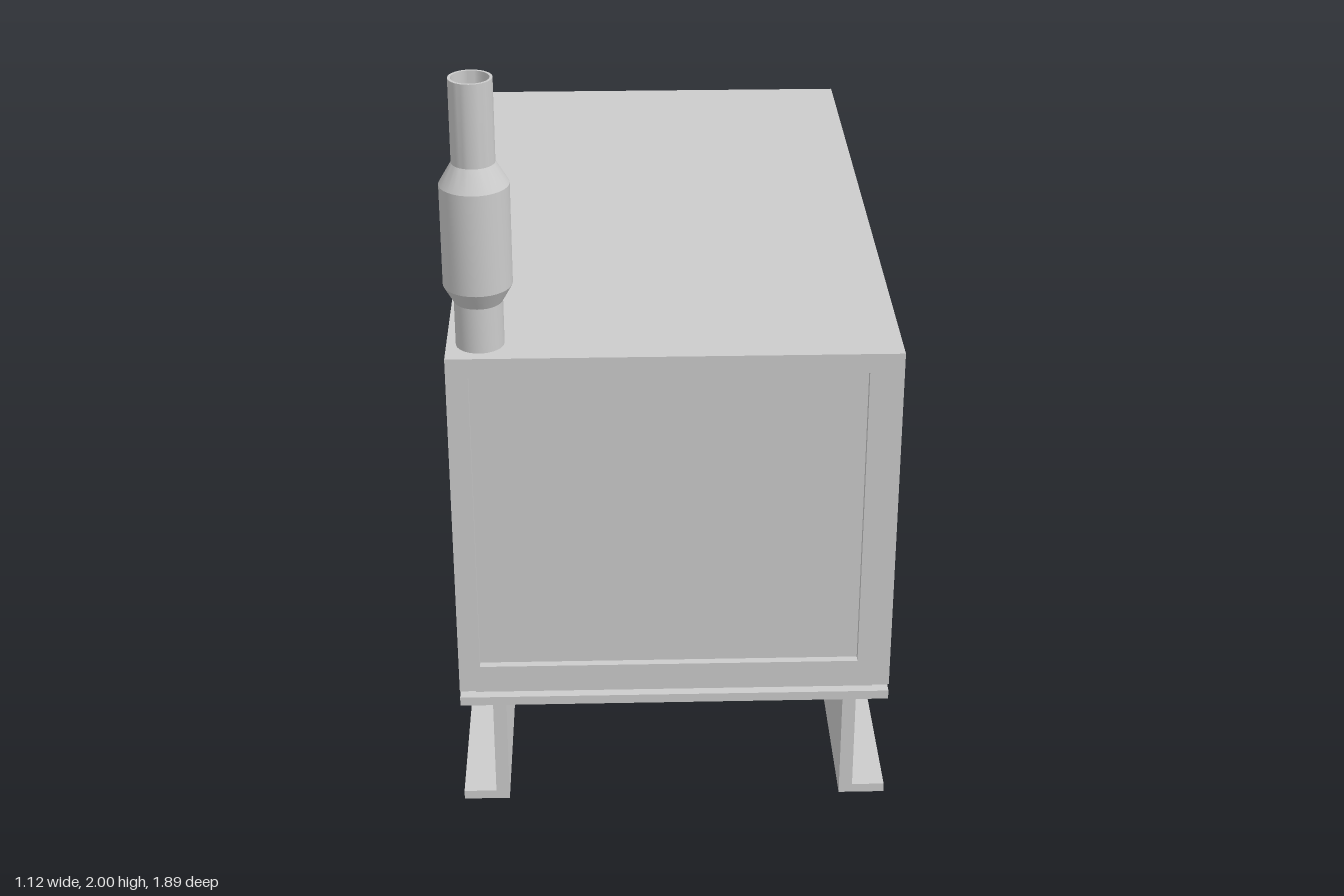
import * as THREE from 'three';
import { toCreasedNormals } from 'three/addons/utils/BufferGeometryUtils.js';

const grey = new THREE.MeshStandardMaterial({ color: 0xcccccc, side: THREE.DoubleSide });

export function createModel() {
  const model = new THREE.Group();

  const group = (name) => {
    const g = new THREE.Group();
    g.name = name;
    model.add(g);
    return g;
  };
  const add = (parent, name, geometry) => {
    const mesh = new THREE.Mesh(geometry, grey);
    mesh.name = name;
    parent.add(mesh);
    return mesh;
  };
  // Box given by its lower and upper limits on each axis
  const box = (parent, name, x0, x1, y0, y1, z0, z1) =>
    add(parent, name, new THREE.BoxGeometry(x1 - x0, y1 - y0, z1 - z0)
      .translate((x0 + x1) / 2, (y0 + y1) / 2, (z0 + z1) / 2));
  // Outline in x, y drawn out from z0 to z1
  const prism = (parent, name, points, z0, z1) => {
    const shape = new THREE.Shape(points.map(([x, y]) => new THREE.Vector2(x, y)));
    return add(parent, name, new THREE.ExtrudeGeometry(shape,
      { depth: z1 - z0, bevelEnabled: false }).translate(0, 0, z0));
  };
  // Outline in z, y drawn out from x0 to x1
  const sidePrism = (parent, name, points, x0, x1) => {
    const shape = new THREE.Shape(points.map(([z, y]) => new THREE.Vector2(-z, y)));
    return add(parent, name, new THREE.ExtrudeGeometry(shape,
      { depth: x1 - x0, bevelEnabled: false }).rotateY(Math.PI / 2).translate(x0, 0, 0));
  };
  // Turned part: [radius, distance along axis], axis x, y or z through the centre
  const turned = (parent, name, profile, axis, x, y, z) => {
    let g = new THREE.LatheGeometry(profile.map(([r, h]) => new THREE.Vector2(r, h)), 32);
    if (axis === 'z') g.rotateX(Math.PI / 2);
    if (axis === 'x') g.rotateZ(-Math.PI / 2);
    g = toCreasedNormals(g, 0.5);
    return add(parent, name, g.translate(x, y, z));
  };
  const pipe = (parent, name, points, r) => {
    const curve = new THREE.CatmullRomCurve3(points.map((p) => new THREE.Vector3(...p)), false, 'centripetal');
    return add(parent, name, new THREE.TubeGeometry(curve, 32, r, 16, false));
  };
  const mirror = (points) => [...points, ...points.map(([x, y]) => [-x, y]).reverse()];

  // Skids: web, flanges and turned-up tail
  const skids = group('skids');
  for (const s of [-1, 1]) {
    const span = (a, b) => (s > 0 ? [a, b] : [-b, -a]);
    const outer = span(0.445, 0.56);
    sidePrism(skids, 'skidWeb',
      [[0.945, 0], [-0.86, 0], [-0.945, 0.085], [-0.945, 0.325], [0.945, 0.325]], ...span(0.44, 0.475));
    sidePrism(skids, 'skidFoot',
      [[0.945, 0], [-0.86, 0], [-0.945, 0.085], [-0.945, 0.12], [-0.85, 0.025], [0.945, 0.025]], ...outer);
    box(skids, 'skidTopFlange', ...outer, 0.3, 0.325, -0.945, 0.945);
  }
  for (const z of [-0.945, 0.875]) box(skids, 'endPlate', -0.56, 0.56, 0.3, 0.325, z, z + 0.07);

  // Cross beams on the skids
  const beams = group('crossBeams');
  for (const z of [0.89, 0.495, -0.07, -0.5, -0.9])
    box(beams, 'crossBeam', -0.52, 0.52, 0.325, 0.375, z - 0.03, z + 0.03);

  // Enclosure frame: rails, posts, roof and front panel
  const frame = group('enclosureFrame');
  for (const s of [-1, 1]) {
    box(frame, 'sideBottomRail', s > 0 ? 0.48 : -0.56, s > 0 ? 0.56 : -0.48, 0.345, 0.42, -0.94, 0.945);
    box(frame, 'sideTopRail', s > 0 ? 0.51 : -0.56, s > 0 ? 0.56 : -0.51, 1.26, 1.31, -0.94, 0.945);
    box(frame, 'rearPost', s > 0 ? 0.485 : -0.56, s > 0 ? 0.56 : -0.485, 0.42, 1.26, -0.94, -0.86);
  }
  box(frame, 'frontPost', 0.475, 0.56, 0.42, 1.26, 0.845, 0.945);
  box(frame, 'frontPost', -0.56, -0.505, 0.42, 1.26, 0.845, 0.945);
  for (const [z0, z1] of [[-0.94, -0.86], [0.87, 0.945]]) {
    box(frame, 'endBottomRail', -0.48, 0.48, 0.345, 0.42, z0, z1);
    box(frame, 'endTopRail', -0.51, 0.51, 1.26, 1.31, z0, z1);
  }
  box(frame, 'frontPanel', -0.505, 0.475, 0.42, 1.26, 0.91, 0.925);
  box(frame, 'roof', -0.56, 0.56, 1.295, 1.312, -0.945, 0.945);

  // Radiator with sloping shroud
  sidePrism(group('radiator'), 'radiatorShroud',
    [[0.845, 0.475], [0.52, 0.475], [0.52, 1.045], [0.7, 1.18], [0.845, 1.18]], -0.4, 0.4);

  // Engine block, head and sump
  const engine = group('engine');
  const half = [[0.19, 0.42], [0.24, 0.48], [0.24, 0.64], [0.2, 0.73], [0.2, 0.85]];
  prism(engine, 'block', mirror(half), -0.15, 0.46);
  for (const z of [0.47, 0.17, -0.145])
    prism(engine, 'blockRib', mirror(half.map(([x, y]) => [x + 0.02, y])), z - 0.018, z + 0.018);
  box(engine, 'headFlange', -0.225, 0.225, 0.838, 0.856, -0.17, 0.52);
  box(engine, 'cylinderHead', -0.19, 0.19, 0.856, 0.975, -0.135, 0.48);
  sidePrism(engine, 'valveCover',
    [[0.48, 0.975], [-0.135, 0.975], [-0.12, 1.02], [0.455, 1.02]], -0.19, 0.19);
  prism(engine, 'sump', [[-0.225, 0.25], [0.225, 0.25], [0.24, 0.3], [0.24, 0.42], [-0.24, 0.42], [-0.24, 0.3]], -0.1, 0.42);
  for (const x of [-0.28, 0.2]) for (const z of [0.495, -0.07])
    box(engine, 'engineMount', x, x + 0.08, 0.37, 0.46, z - 0.04, z + 0.04);
  turned(engine, 'pulley', [[0, 0], [0.1, 0], [0.1, 0.035], [0.04, 0.035], [0.04, 0.06], [0, 0.06]], 'z', 0, 0.6, 0.46);
  box(engine, 'accessoryBracket', 0.2, 0.3, 0.46, 0.71, 0.42, 0.5);
  // Starter motor and its solenoid
  turned(engine, 'starter', [[0, 0], [0.065, 0], [0.065, 0.18], [0, 0.18]], 'z', 0.29, 0.565, 0.25);
  sidePrism(engine, 'solenoid', [[0.42, 0.62], [0.29, 0.62], [0.305, 0.67], [0.405, 0.67]], 0.23, 0.32);

  // Exhaust manifold runners, riser and stack
  const exhaust = group('exhaust');
  for (let i = 0; i < 4; i++) {
    const z = -0.07 + i * 0.13;
    pipe(exhaust, 'exhaustRunner', [[-0.17, 0.92, z], [-0.26, 0.92, z], [-0.32, 0.87, z + 0.02], [-0.34, 0.8, z + 0.03]], 0.03);
  }
  pipe(exhaust, 'manifold', [[-0.34, 0.79, -0.08], [-0.345, 0.8, 0.1], [-0.35, 0.77, 0.25], [-0.36, 0.73, 0.32]], 0.045);
  pipe(exhaust, 'exhaustRiser', [[-0.36, 0.7, 0.3], [-0.36, 0.85, 0.28], [-0.36, 1.05, 0.29],
    [-0.36, 1.14, 0.33], [-0.36, 1.2, 0.46], [-0.36, 1.215, 0.6], [-0.4, 1.22, 0.75], [-0.475, 1.225, 0.85]], 0.048);
  turned(exhaust, 'exhaustStack', [[0.06, 1.2], [0.06, 1.43], [0.085, 1.475], [0.085, 1.735], [0.053, 1.79],
    [0.053, 2], [0.046, 2], [0.046, 1.9], [0, 1.9]], 'y', -0.477, 0, 0.855);

  // Air cleaner drum, intake neck and rain cap
  const air = group('airCleaner');
  turned(air, 'airDrum', [[0, -0.13], [0.11, -0.13], [0.125, -0.11], [0.125, 0.15], [0.115, 0.17], [0, 0.185]],
    'x', 0, 0.885, -0.295);
  turned(air, 'rainCap', [[0.05, 0.93], [0.05, 1.06], [0.085, 1.065], [0.085, 1.09], [0.05, 1.108], [0, 1.108]],
    'y', 0.03, 0, -0.34);
  pipe(air, 'intakePipe', [[0.02, 0.87, -0.25], [0.05, 0.85, -0.17], [0.1, 0.87, -0.1]], 0.04);

  // Alternator with bell housing, domed end and terminal hood
  const alternator = group('alternator');
  turned(alternator, 'alternatorBody', [[0, -0.9], [0.09, -0.895], [0.15, -0.88], [0.195, -0.85], [0.215, -0.85],
    [0.215, -0.835], [0.208, -0.83], [0.208, -0.41], [0.195, -0.37], [0.222, -0.355], [0.222, -0.31],
    [0.2, -0.27], [0.195, -0.23], [0.2, -0.15], [0, -0.15]], 'z', -0.02, 0.54, 0);
  prism(alternator, 'terminalHood', [[-0.22, 0.6], [0.18, 0.6], [0.18, 0.74], [0.09, 0.89], [-0.13, 0.89], [-0.22, 0.74]],
    -0.825, -0.505);
  for (const x of [-0.24, 0.1])
    box(alternator, 'alternatorFoot', x, x + 0.1, 0.37, 0.455, -0.6, -0.42);

  // Control cabinet
  box(group('controlCabinet'), 'cabinet', -0.53, -0.31, 0.41, 1.02, -0.86, -0.39);

  return model;
}
